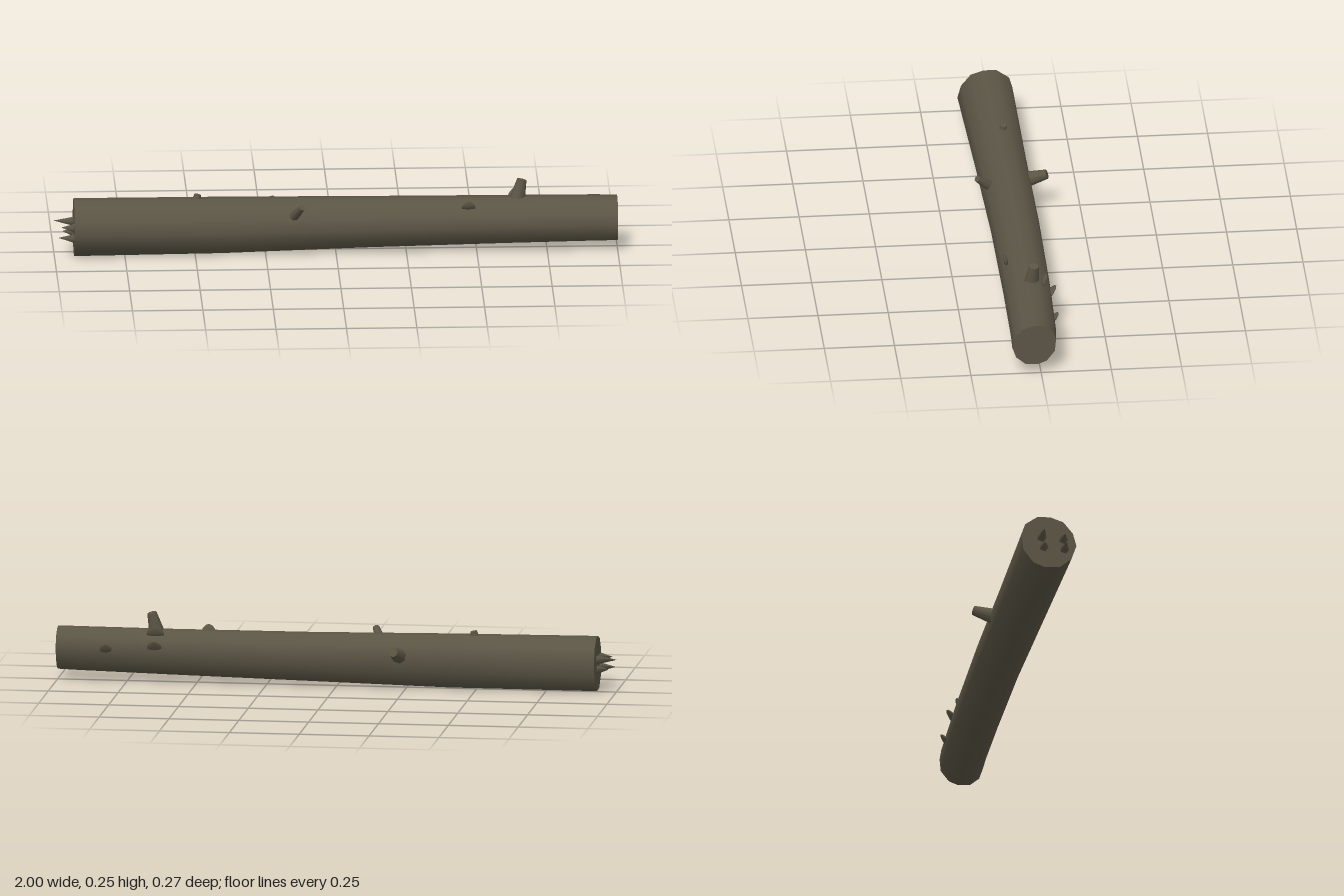
import * as THREE from 'three';

// Outline of the trunk as [z, y] on a unit radius
const OUTLINE = [[1, -0.07], [0.87, 0.41], [0.52, 0.84], [0.05, 1], [-0.42, 0.99], [-0.88, 0.66],
  [-1, 0.24], [-0.95, -0.34], [-0.57, -0.84], [-0.18, -0.99], [0.39, -0.96], [0.82, -0.6]];
// Stations along the trunk: x, centre y, centre z, half height, half depth
const STATIONS = [[-0.93, 0.098, 0.027, 0.098, 0.098], [-0.4, 0.098, 0.019, 0.096, 0.09],
  [0.1, 0.102, 0.012, 0.087, 0.086], [0.6, 0.107, 0.014, 0.081, 0.083],
  [0.92, 0.111, 0.02, 0.078, 0.08], [1, 0.112, 0.025, 0.077, 0.078]];
// Half profile of a bark chip, flat at the bottom
const CHIP = [[0, 0], [1, 0], [0.9, 0.45], [0.5, 0.85], [0, 1]].map(([r, y]) => new THREE.Vector2(r, y));

const ringPoint = ([x, cy, cz, ry, rz], [z, y]) => [x, cy + y * ry, cz + z * rz];

function surface(positions, index) {
  const g = new THREE.BufferGeometry();
  g.setAttribute('position', new THREE.Float32BufferAttribute(positions, 3));
  g.setIndex(index);
  g.computeVertexNormals();
  return g;
}

function trunkGeometry() {
  const n = OUTLINE.length, pos = [], idx = [];
  STATIONS.forEach((s) => OUTLINE.forEach((p) => pos.push(...ringPoint(s, p))));
  for (let i = 0; i < STATIONS.length - 1; i++) {
    for (let j = 0; j < n; j++) {
      const a = i * n + j, b = i * n + (j + 1) % n;
      idx.push(a, a + n, b, b, a + n, b + n);
    }
  }
  return surface(pos, idx);
}

function capGeometry(station, facesPlusX) {
  const n = OUTLINE.length, pos = [station[0], station[1], station[2]], idx = [];
  OUTLINE.forEach((p) => pos.push(...ringPoint(station, p)));
  for (let j = 0; j < n; j++) {
    const a = 1 + j, b = 1 + (j + 1) % n;
    idx.push(0, ...(facesPlusX ? [b, a] : [a, b]));
  }
  return surface(pos, idx);
}

export function createModel() {
  const group = new THREE.Group();
  const bark = new THREE.MeshStandardMaterial({ color: 0x5b5545 });
  bark.name = 'bark';

  function add(name, geometry) {
    const mesh = new THREE.Mesh(geometry, bark);
    mesh.name = name;
    group.add(mesh);
    return mesh;
  }

  // Tapered rod between two points
  function rod(name, from, to, r0, r1, sides) {
    const a = new THREE.Vector3(...from), b = new THREE.Vector3(...to);
    const dir = b.clone().sub(a);
    const mesh = add(name, new THREE.CylinderGeometry(r1, r0, dir.length(), sides));
    mesh.position.copy(a).add(b).multiplyScalar(0.5);
    mesh.quaternion.setFromUnitVectors(new THREE.Vector3(0, 1, 0), dir.normalize());
  }

  // Trunk and its sawn ends
  add('trunk', trunkGeometry());
  add('leftEnd', capGeometry(STATIONS[STATIONS.length - 1], true));
  add('rightEnd', capGeometry(STATIONS[0], false));

  // Broken branch stubs
  rod('topStub', [0.642, 0.165, 0.004], [0.662, 0.249, -0.005], 0.03, 0.017, 8);
  rod('backStub', [-0.232, 0.122, -0.055], [-0.218, 0.148, -0.13], 0.029, 0.017, 8);
  rod('frontStub', [-0.15, 0.146, 0.08], [-0.122, 0.192, 0.127], 0.018, 0.012, 8);
  rod('smallStub', [-0.496, 0.175, 0.003], [-0.489, 0.208, 0.0], 0.018, 0.012, 8);

  // Flat bark chips: x, base y, base z, half width, height, tilt
  const chips = [[0.47, 0.168, 0.077, 0.025, 0.03, 0.3], [0.645, 0.17, -0.035, 0.034, 0.04, -0.45],
    [0.645, 0.123, -0.058, 0.03, 0.045, -0.67], [0.82, 0.115, -0.056, 0.024, 0.036, -0.67]];
  for (const [x, y, z, w, h, tilt] of chips) {
    const chip = add('barkChip', new THREE.LatheGeometry(CHIP, 10));
    chip.scale.set(w, h, 0.007);
    chip.position.set(x, y, z);
    chip.rotation.x = tilt;
  }

  // Splinters on the torn end
  const splinters = [[0.115, 0.0, -1], [0.112, 0.078, -0.975], [0.075, 0.082, -0.985], [0.078, 0.008, -0.97]];
  for (const [y, z, tip] of splinters) {
    rod('splinter', [-0.925, y, z], [tip, y + 0.002, z], 0.019, 0.0005, 5);
  }
  return group;
}
